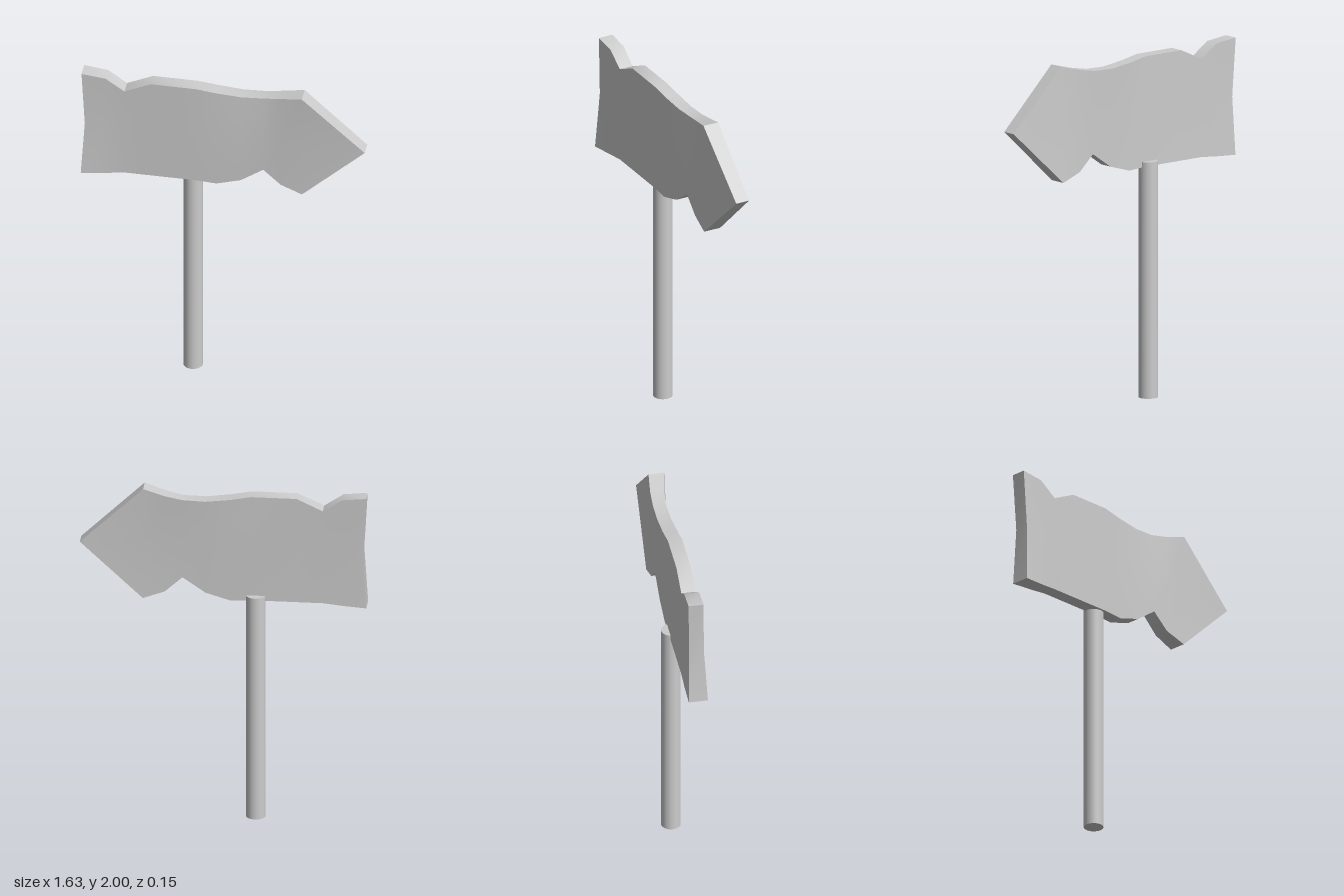
import * as THREE from 'three';
import { toCreasedNormals } from 'three/addons/utils/BufferGeometryUtils.js';

// Board columns from tail to point: x, then bottom / middle / top as [y, zFront, zBack]
const columns = [
  [-0.818, [1.32, 0.075, -0.035], [1.66, 0.055, -0.03], [2.0, 0.05, -0.037]],
  [-0.68, [1.33, 0.06, -0.035], [1.66, 0.05, -0.03], [1.985, 0.05, -0.036]],
  [-0.57, [1.34, 0.05, -0.032], [1.66, 0.05, -0.03], [1.91, 0.05, -0.032]],
  [-0.42, [1.34, 0.05, -0.032], [1.66, 0.05, -0.03], [1.98, 0.05, -0.032]],
  [-0.16, [1.34, 0.05, -0.032], [1.66, 0.05, -0.032], [1.98, 0.05, -0.032]],
  [-0.04, [1.333, 0.05, -0.03], [1.66, 0.05, -0.033], [1.96, 0.042, -0.04]],
  [0.1, [1.375, 0.05, -0.03], [1.66, 0.048, -0.035], [1.945, 0.033, -0.045]],
  [0.23, [1.465, 0.05, -0.032], [1.66, 0.046, -0.035], [1.95, 0.028, -0.046]],
  [0.33, [1.375, 0.052, -0.036], [1.66, 0.05, -0.033], [1.968, 0.04, -0.042]],
  [0.455, [1.33, 0.062, -0.041], [1.66, 0.055, -0.03], [2.0, 0.066, -0.028]],
];

function boardGeometry() {
  const pos = [];
  const last = columns.length - 1;
  // Corner of the board; side 1 is the front sheet, side 2 the back sheet
  const corner = (c, row, side) => {
    const [y, ...z] = columns[c][row + 1];
    const notch = c === 0 && row === 1 ? 0.02 : 0;
    return [columns[c][0] + notch, y, z[side - 1]];
  };
  const tip = (side) => [0.815, 1.66, side === 1 ? 0.05 : -0.032];
  const tri = (a, b, c) => pos.push(...a, ...b, ...c);
  const quad = (a, b, c, d) => { tri(a, b, c); tri(a, c, d); };

  // Front and back sheets
  for (const side of [1, 2]) {
    const face = (...p) => {
      if (side === 2) p.reverse();
      if (p.length === 4) quad(...p); else tri(...p);
    };
    for (let row = 0; row < 2; row++) {
      for (let c = 0; c < last; c++) {
        face(corner(c, row, side), corner(c + 1, row, side), corner(c + 1, row + 1, side), corner(c, row + 1, side));
      }
      face(corner(last, row, side), tip(side), corner(last, row + 1, side));
    }
  }

  // Rim, counter-clockwise around the outline
  const rim = [];
  for (let c = 0; c <= last; c++) rim.push([corner(c, 0, 1), corner(c, 0, 2)]);
  rim.push([tip(1), tip(2)]);
  for (let c = last; c >= 0; c--) rim.push([corner(c, 2, 1), corner(c, 2, 2)]);
  rim.push([corner(0, 1, 1), corner(0, 1, 2)]);
  rim.forEach(([front, back], i) => {
    const [nextFront, nextBack] = rim[(i + 1) % rim.length];
    quad(front, back, nextBack, nextFront);
  });

  const g = new THREE.BufferGeometry();
  g.setAttribute('position', new THREE.Float32BufferAttribute(pos, 3));
  return toCreasedNormals(g, 0.6);
}

export function createModel() {
  const model = new THREE.Group();
  model.name = 'signpost';
  const grey = new THREE.MeshStandardMaterial({ color: 0xcccccc });
  grey.name = 'light grey';

  // Arrow-shaped weathered board
  const board = new THREE.Mesh(boardGeometry(), grey);
  board.name = 'arrowBoard';

  // Round post, partly sunk into the back of the board
  const post = new THREE.Mesh(new THREE.CylinderGeometry(0.056, 0.056, 1.37, 32), grey);
  post.name = 'post';
  post.position.set(-0.187, 0.685, -0.02);

  model.add(board, post);
  return model;
}
